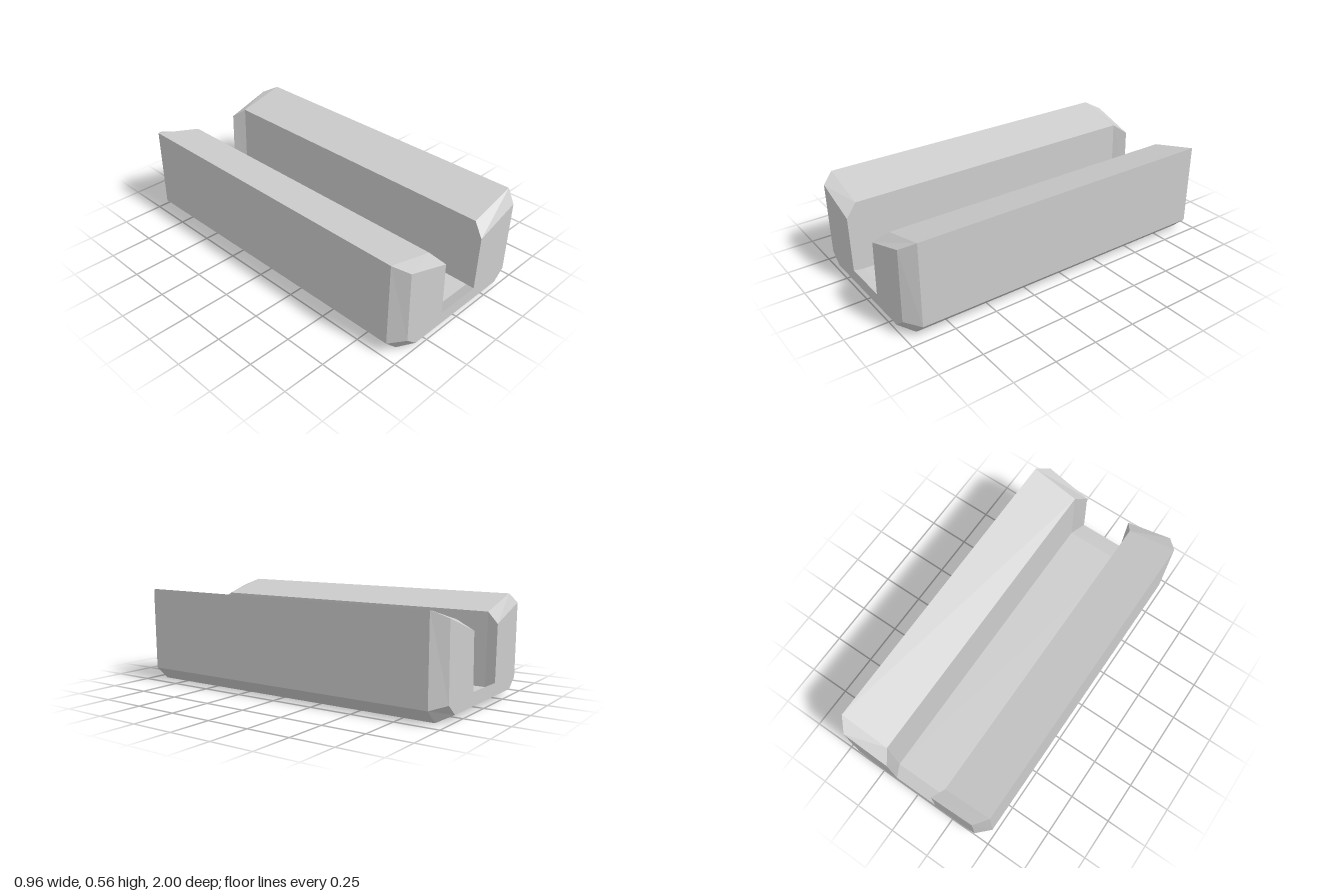
import * as THREE from 'three';

// Right half of each cross-section, from the bottom edge round to the channel floor
const BODY_HALF = [[0.405, 0], [0.482, 0.075], [0.482, 0.557], [0.193, 0.482], [0.183, 0.07]];
const END_HALF = [[0.343, 0.039], [0.412, 0.098], [0.42, 0.516], [0.148, 0.426], [0.138, 0.11]];

// Mirror a half section into a closed counter-clockwise outline
function mirrored(half) {
  return [...half, ...half.slice().reverse().map(([x, y]) => [-x, y])].map(([x, y]) => new THREE.Vector2(x, y));
}

// Skin a series of { z, outline } sections and close both ends
function loft(sections) {
  const n = sections[0].outline.length;
  const positions = [];
  const index = [];
  for (const { z, outline } of sections) {
    for (const p of outline) positions.push(p.x, p.y, z);
  }
  for (let s = 0; s < sections.length - 1; s++) {
    for (let i = 0; i < n; i++) {
      const a = s * n + i;
      const b = s * n + (i + 1) % n;
      index.push(a, b, b + n, a, b + n, a + n);
    }
  }
  const last = (sections.length - 1) * n;
  for (const [a, b, c] of THREE.ShapeUtils.triangulateShape(sections[0].outline, [])) {
    index.push(a, c, b, last + a, last + b, last + c);
  }
  const indexed = new THREE.BufferGeometry();
  indexed.setAttribute('position', new THREE.Float32BufferAttribute(positions, 3));
  indexed.setIndex(index);
  const geometry = indexed.toNonIndexed();
  geometry.computeVertexNormals();
  return geometry;
}

export function createModel() {
  const group = new THREE.Group();
  group.name = 'channelBlock';
  const body = mirrored(BODY_HALF);
  const end = mirrored(END_HALF);

  // Long U-shaped rail with chamfered ends
  const rail = new THREE.Mesh(
    loft([
      { z: -1, outline: end },
      { z: -0.925, outline: body },
      { z: 0.925, outline: body },
      { z: 1, outline: end },
    ]),
    new THREE.MeshStandardMaterial({ color: 0xcccccc, flatShading: true }),
  );
  rail.name = 'channelRail';
  group.add(rail);
  return group;
}
